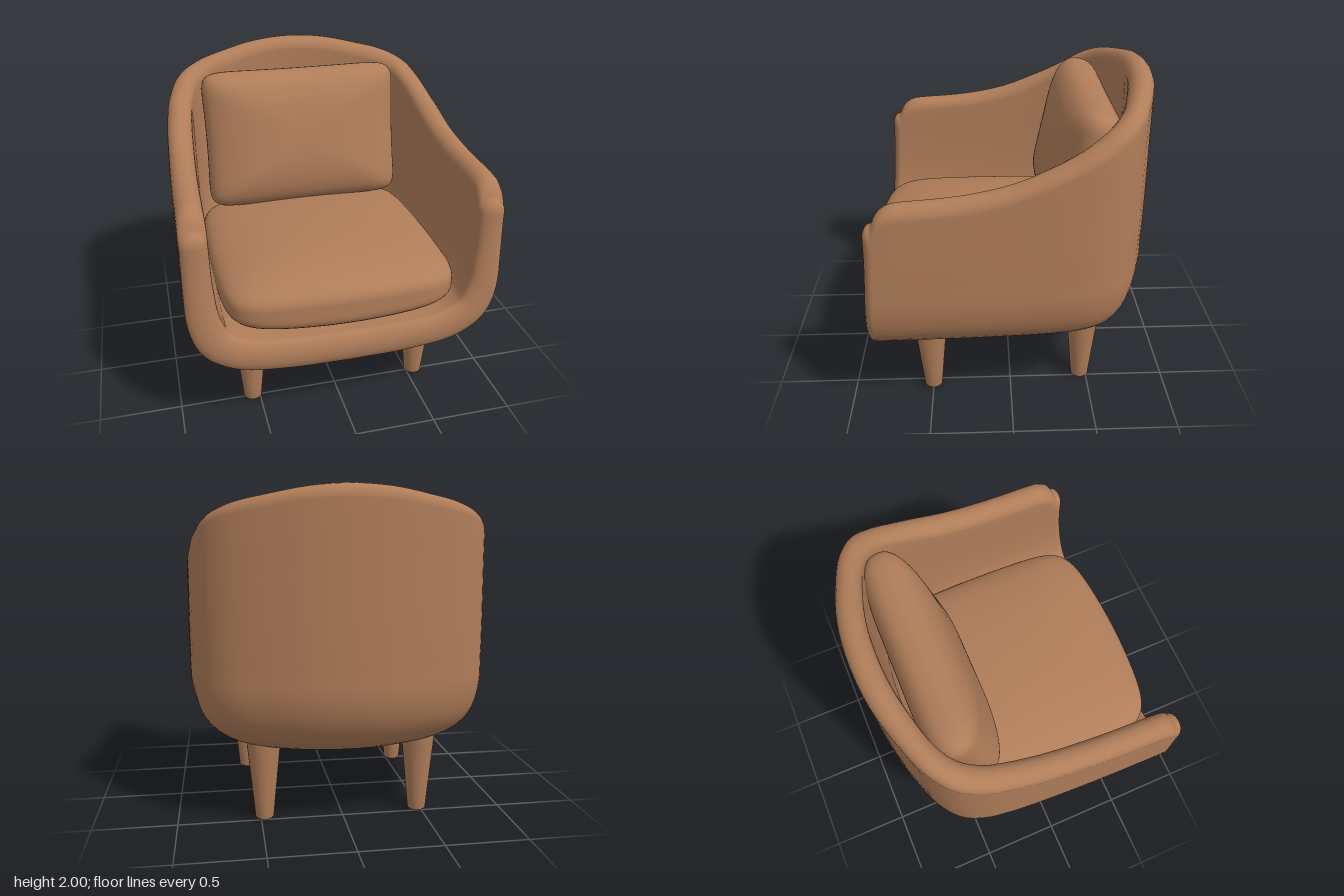
import * as THREE from 'three';
import { mergeVertices } from 'three/addons/utils/BufferGeometryUtils.js';

const leather = new THREE.MeshStandardMaterial({ color: 0xb07d59 });
leather.name = 'tan leather';

function add(parent, name, geometry) {
  const mesh = new THREE.Mesh(geometry, leather);
  mesh.name = name;
  parent.add(mesh);
  return mesh;
}

// Tub shell: a wall-and-floor section swept round a U-shaped plan
function shellGeometry() {
  // Half plan from arm front to back middle: outer x, rim height, z
  const half = [
    [0.935, 1.36, 0.76], [0.935, 1.43, 0.72], [0.935, 1.47, 0.66], [0.933, 1.485, 0.55],
    [0.93, 1.495, 0.4], [0.924, 1.52, 0.2], [0.915, 1.565, 0], [0.903, 1.64, -0.2],
    [0.89, 1.69, -0.32], [0.865, 1.76, -0.46], [0.8, 1.845, -0.6], [0.68, 1.9, -0.7],
    [0.48, 1.945, -0.78], [0.25, 1.985, -0.84],
  ].map(p => new THREE.Vector3(...p));
  const mirrored = half.map(p => new THREE.Vector3(-p.x, p.y, p.z)).reverse();
  const plan = new THREE.CatmullRomCurve3([...half, new THREE.Vector3(0, 2, -0.86), ...mirrored]);

  // Stations along the plan, with shrinking ones at each end to round the front
  const stations = [];
  const N = 112, CAP = 6;
  for (let i = CAP; i >= 1; i--) stations.push([0, i / CAP]);
  for (let i = 0; i <= N; i++) stations.push([i / N, 0]);
  for (let i = 1; i <= CAP; i++) stations.push([1, i / CAP]);

  const M = 28, TIP = 10, spineZ = -0.1;
  const positions = [];
  let count = 0;
  for (const [t, cap] of stations) {
    const p = plan.getPoint(t);
    const cz = Math.max(p.z, spineZ);
    const dx = p.x, dz = p.z - cz, R = Math.hypot(dx, dz);
    const shrink = Math.cos(cap * Math.PI / 2);
    const forward = 0.05 * Math.sin(cap * Math.PI / 2);

    // Middle line of the section: out along the floor, then up the wall
    const mid = new THREE.CatmullRomCurve3([
      [0, 0.52], [0.4 * R, 0.53], [0.68 * R, 0.57], [R - 0.16, 0.66],
      [R - 0.1, 0.8], [R - 0.082, 1.0], [R - 0.078, p.y - 0.078],
    ].map(q => new THREE.Vector3(q[0], q[1], 0)));
    const outer = [], inner = [], tip = [];
    for (let j = 0; j <= M; j++) {
      const u = j / M, c = mid.getPoint(u);
      const d = j === 0 ? new THREE.Vector3(1, 0, 0) : mid.getTangent(u);
      const h = shrink * THREE.MathUtils.lerp(0.1, 0.078, THREE.MathUtils.smoothstep(u, 0.5, 1));
      outer.push([c.x + d.y * h, c.y - d.x * h]);
      inner.unshift([c.x - d.y * h, c.y + d.x * h]);
      if (j === M) {
        for (let k = 1; k < TIP; k++) {
          const a = Math.PI * k / TIP, ca = Math.cos(a) * h, sa = Math.sin(a) * h;
          tip.push([c.x + d.y * ca + d.x * sa, c.y - d.x * ca + d.y * sa]);
        }
      }
    }
    const loop = [...outer, ...tip, ...inner];
    count = loop.length;
    for (const [s, y] of loop) {
      // The lower front edge swells forward
      const swell = 0.045 * THREE.MathUtils.smoothstep(p.z, 0.3, 0.76)
        * (1 - THREE.MathUtils.smoothstep(y, 0.45, 1.3));
      positions.push(dx / R * s, y, cz + dz / R * s + forward + swell);
    }
  }
  const index = [];
  for (let i = 0; i < stations.length - 1; i++) {
    for (let j = 0; j < count - 1; j++) {
      const a = i * count + j, b = a + count;
      index.push(a, b, a + 1, b, b + 1, a + 1);
    }
  }
  const g = new THREE.BufferGeometry();
  g.setAttribute('position', new THREE.Float32BufferAttribute(positions, 3));
  g.setIndex(index);
  const welded = mergeVertices(g, 1e-4);
  welded.computeVertexNormals();
  return welded;
}

// Soft pillow lying flat: p squares its plan, q squares its edge; bend adjusts points
function pillowGeometry(w, h, d, p, q, bend) {
  let g = new THREE.BoxGeometry(2, 2, 2, 36, 18, 36);
  g.deleteAttribute('uv');
  g.deleteAttribute('normal');
  g = mergeVertices(g);
  const pos = g.attributes.position, v = new THREE.Vector3();
  for (let i = 0; i < pos.count; i++) {
    v.fromBufferAttribute(pos, i);
    const r = (Math.abs(v.x) ** p + Math.abs(v.z) ** p) ** (1 / p);
    v.divideScalar((r ** q + Math.abs(v.y) ** q) ** (1 / q));
    const unit = v.clone();
    v.multiply(new THREE.Vector3(w, h, d));
    bend(v, unit);
    pos.setXYZ(i, v.x, v.y, v.z);
  }
  g.computeVertexNormals();
  return g;
}

export function createModel() {
  const chair = new THREE.Group();
  chair.name = 'armchair';

  add(chair, 'tubShell', shellGeometry());

  // Seat cushion with a bowed front and domed top
  const seat = add(chair, 'seatCushion', pillowGeometry(0.725, 0.155, 0.68, 8, 3.2, (v, u) => {
    const middle = 1 - u.x * u.x;
    v.z += 0.06 * middle * Math.max(u.z, 0);
    v.y += u.y > 0 ? 0.06 * middle * (1 - u.z * u.z * 0.6) : -0.03 * middle;
    v.x *= 1 - 0.04 * u.z * u.z;
  }));
  seat.position.set(0, 0.81, 0.12);

  // Back cushion, leaning back, with slightly hollow sides
  const back = add(chair, 'backCushion', pillowGeometry(0.66, 0.205, 0.455, 10, 2.5, (v, u) => {
    v.x *= 1 - 0.025 * (1 - u.z * u.z);
    v.z *= 1 - 0.02 * (1 - u.x * u.x);
  }));
  back.rotation.x = Math.PI / 2 - 0.2;
  back.position.set(0, 1.41, -0.42);

  // Tapered legs
  const legProfile = [[0, 0], [0.045, 0], [0.056, 0.012], [0.066, 0.12], [0.1, 0.46], [0.102, 0.5]]
    .map(q => new THREE.Vector2(...q));
  const legGeometry = new THREE.LatheGeometry(legProfile, 28);
  for (const side of [1, -1]) {
    for (const [name, x, z] of [['frontLeg', 0.545, 0.5], ['rearLeg', 0.478, -0.46]]) {
      add(chair, (side > 0 ? 'left ' : 'right ') + name, legGeometry).position.set(side * x, 0, z);
    }
  }
  return chair;
}
